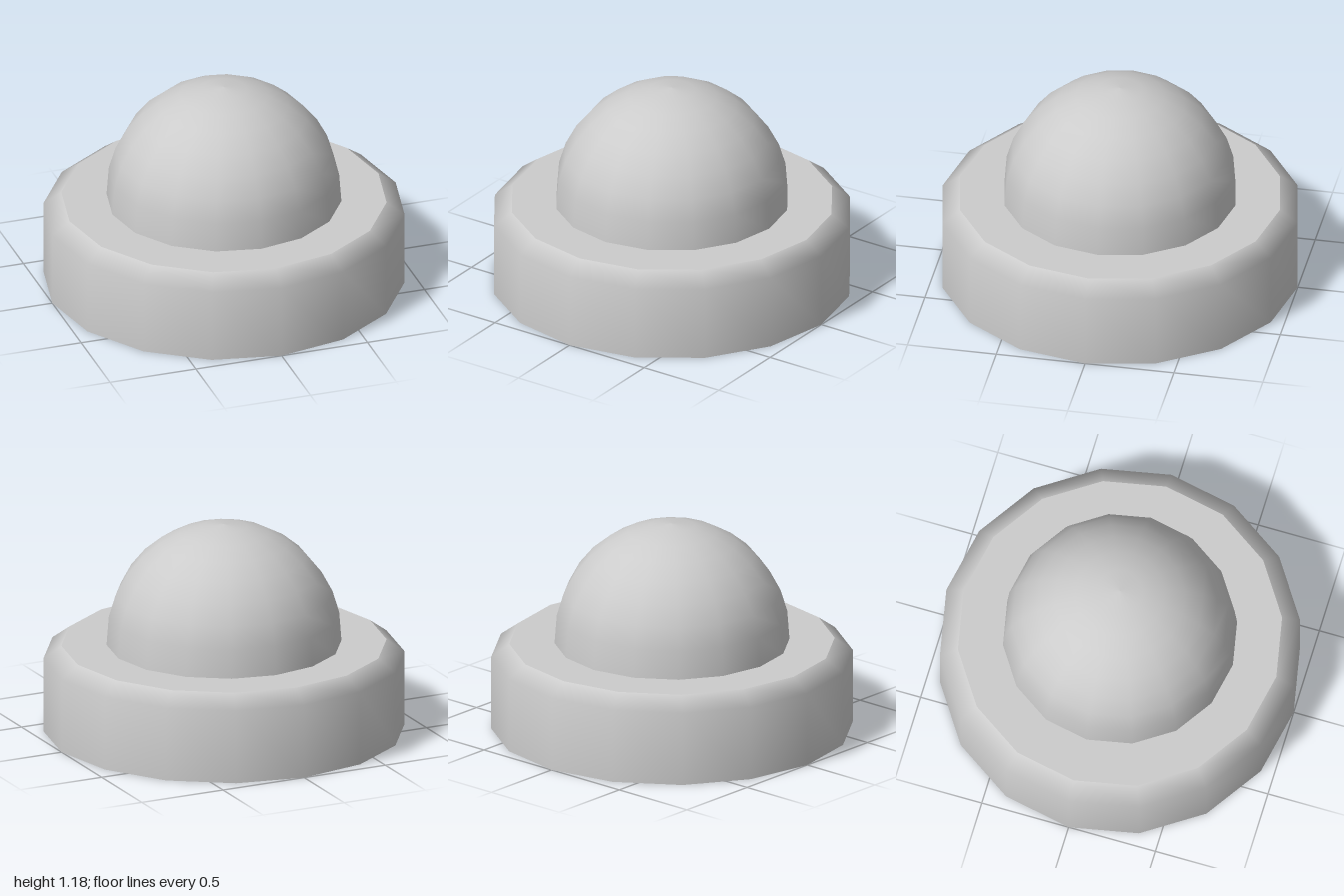
import * as THREE from 'three';

const SIDES = 16;

export function createModel() {
  const group = new THREE.Group();
  const material = new THREE.MeshStandardMaterial({ color: 0xcccccc, side: THREE.DoubleSide });

  // Revolve a radius/height profile; separate profiles keep the edges between them sharp
  const addShell = (name, profile) => {
    const points = profile.map(([r, y]) => new THREE.Vector2(r, y));
    const mesh = new THREE.Mesh(new THREE.LatheGeometry(points, SIDES), material);
    mesh.name = name;
    group.add(mesh);
  };

  // Open-bottomed outer wall with its bevelled shoulder
  addShell('baseWall', [[1, 0], [1, 0.42], [0.9, 0.493]]);

  // Flat ring between the wall and the dome
  addShell('topRing', [[0.9, 0.493], [0.65, 0.493]]);

  // Hollow dome, flared slightly where it meets the ring
  const radius = 0.65, centre = 0.53, steps = 8;
  const dome = [[radius, 0.493]];
  for (let i = 1; i <= steps; i++) {
    const a = (i / steps) * Math.PI / 2;
    dome.push([i === steps ? 0 : radius * Math.cos(a), centre + radius * Math.sin(a)]);
  }
  addShell('dome', dome);

  return group;
}
